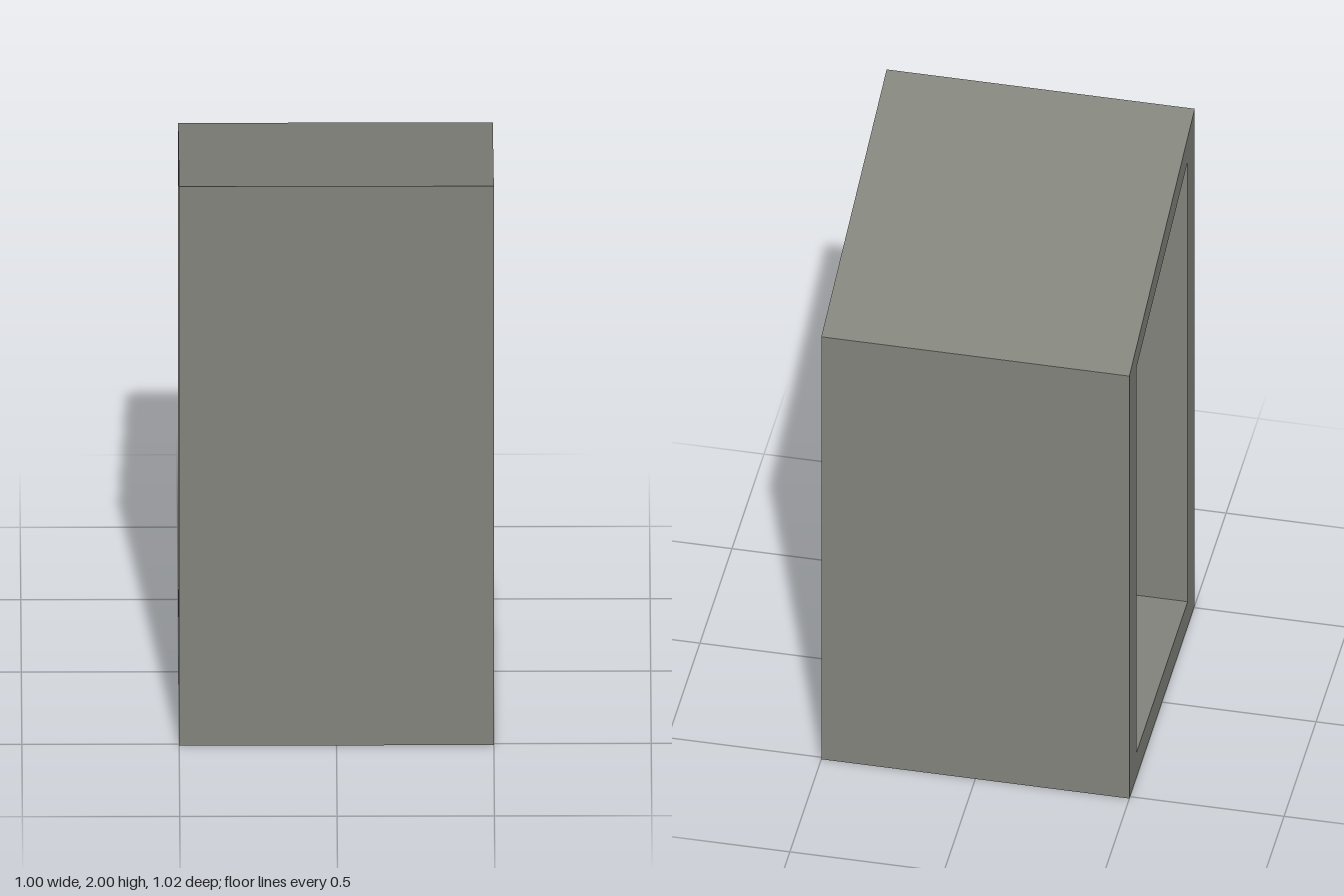
import * as THREE from 'three';

const material = (name, color) => {
  const m = new THREE.MeshStandardMaterial({ color });
  m.name = name;
  return m;
};

const shapeOf = (points) => new THREE.Shape(points.map(([x, y]) => new THREE.Vector2(x, y)));
const square = (r) => [[-r, -r], [r, -r], [r, r], [-r, r]];

// Outline with one opening, extruded to a given depth from z = 0
function ring(outer, inner, depth) {
  const shape = shapeOf(outer);
  shape.holes.push(shapeOf(inner));
  return new THREE.ExtrudeGeometry(shape, { depth, bevelEnabled: false });
}

export function createModel() {
  const concrete = material('concrete', 0x82837b);
  const metal = material('greyMetal', 0xb0b0b0);
  const dark = material('darkFill', 0x2a2a2a);

  const group = new THREE.Group();
  const add = (name, geometry, mat) => {
    const mesh = new THREE.Mesh(geometry, mat);
    mesh.name = name;
    group.add(mesh);
    return mesh;
  };

  // Housing: sloped-roof frame, open through both sides
  const housing = ring(
    [[-0.51, 0], [0.51, 0], [0.51, 1.7], [-0.51, 2]],
    [[-0.4, 0.1], [0.4, 0.1], [0.4, 1.65], [-0.4, 1.87]], 1);
  housing.translate(0, 0, -0.5).rotateY(Math.PI / 2);
  add('housing', housing, concrete);

  // Bin: square hollow container standing on the housing floor
  const half = 0.34, inside = 0.305, floor = 0.1, rim = 1.2;
  const walls = ring(square(half), square(inside), rim - floor);
  walls.rotateX(-Math.PI / 2).translate(0, floor, 0);
  add('binWalls', walls, metal);

  // Fill: rounded heap with a slightly grainy surface
  const heap = new THREE.PlaneGeometry(2 * inside, 2 * inside, 48, 48).rotateX(-Math.PI / 2);
  const pos = heap.attributes.position;
  for (let i = 0; i < pos.count; i++) {
    const x = pos.getX(i), z = pos.getZ(i);
    const grain = 0.003 * Math.sin(x * 190 + 3 * Math.sin(z * 70)) * Math.sin(z * 170);
    pos.setY(i, 1.148 + 0.1 * Math.exp(-(x * x + z * z) / 0.042) + grain);
  }
  heap.computeVertexNormals();
  add('fillHeap', heap, dark);

  return group;
}
